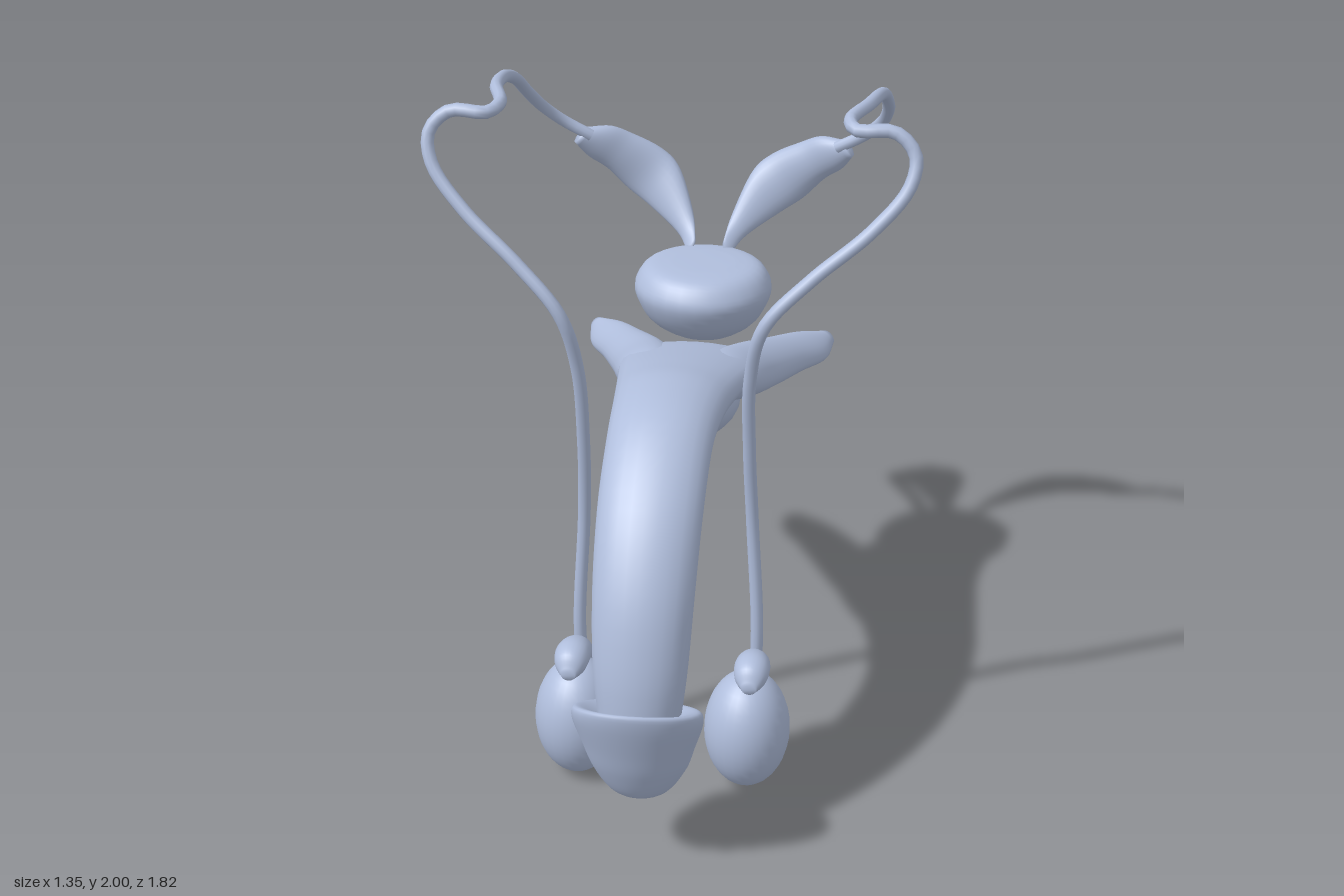
import * as THREE from 'three';

const V = (x, y, z) => new THREE.Vector3(x, y, z);

// Smooth closed skin through elliptical sections { c: centre, u, v: half-axes }
function loft(sections, rings = 28, sides = 24) {
  const [cc, cu, cv] = ['c', 'u', 'v'].map(
    (k) => new THREE.CatmullRomCurve3(sections.map((s) => s[k]), false, 'catmullrom', 0.5));
  const pos = [], idx = [];
  for (let i = 0; i <= rings; i++) {
    const t = i / rings, c = cc.getPoint(t), u = cu.getPoint(t), v = cv.getPoint(t);
    for (let j = 0; j < sides; j++) {
      const a = (j / sides) * Math.PI * 2;
      const p = c.clone().addScaledVector(u, Math.cos(a)).addScaledVector(v, Math.sin(a));
      pos.push(p.x, p.y, p.z);
    }
  }
  const first = sections[0], last = sections[sections.length - 1];
  pos.push(...first.c.toArray(), ...last.c.toArray());
  const mid = sections[sections.length >> 1];
  const dir = last.c.clone().sub(first.c);
  const flip = mid.u.clone().cross(mid.v).dot(dir) < 0;
  const tri = (a, b, c) => (flip ? idx.push(a, c, b) : idx.push(a, b, c));
  const n0 = (rings + 1) * sides;
  for (let j = 0; j < sides; j++) {
    const k = (j + 1) % sides;
    for (let i = 0; i < rings; i++) {
      const a = i * sides + j, b = i * sides + k;
      tri(a, b, b + sides);
      tri(a, b + sides, a + sides);
    }
    tri(n0, k, j);
    tri(n0 + 1, rings * sides + j, rings * sides + k);
  }
  const g = new THREE.BufferGeometry();
  g.setAttribute('position', new THREE.Float32BufferAttribute(pos, 3));
  g.setIndex(idx);
  g.computeVertexNormals();
  return g;
}

// Section given by its outer and inner point in the side plane, plus centre x, half width and sideways tilt
const sec = (zo, yo, zi, yi, hw, x = 0, tilt = 0) => ({
  c: V(x, (yo + yi) / 2, (zo + zi) / 2),
  u: V(hw, tilt, 0),
  v: V(0, (yo - yi) / 2, (zo - zi) / 2),
});

export function createModel() {
  const group = new THREE.Group();
  const tissue = new THREE.MeshStandardMaterial({ color: 0xb0bedc });
  tissue.name = 'pale blue grey';
  const add = (name, geometry) => {
    const m = new THREE.Mesh(geometry, tissue);
    m.name = name;
    group.add(m);
    return m;
  };

  // Curved upper body
  add('shaft', loft([
    sec(-0.46, 1.05, -0.46, 0.98, 0.13),
    sec(-0.38, 1.09, -0.4, 0.97, 0.2),
    sec(-0.22, 1.14, -0.24, 0.99, 0.205),
    sec(-0.02, 1.195, -0.04, 1.03, 0.18),
    sec(0.16, 1.23, 0.14, 1.05, 0.16),
    sec(0.376, 1.205, 0.29, 1.04, 0.148),
    sec(0.587, 1.06, 0.43, 0.96, 0.145),
    sec(0.73, 0.86, 0.54, 0.8, 0.14),
    sec(0.8, 0.65, 0.61, 0.6, 0.13),
    sec(0.82, 0.46, 0.63, 0.43, 0.11),
  ], 40));

  // Lower column, swelling to a bulb at the back
  add('lowerColumn', loft([
    sec(-0.67, 0.89, -0.66, 0.85, 0.03),
    sec(-0.6, 0.95, -0.59, 0.81, 0.1),
    sec(-0.43, 1.0, -0.43, 0.775, 0.135),
    sec(-0.22, 1.03, -0.24, 0.83, 0.11),
    sec(0.0, 1.08, -0.02, 0.95, 0.075),
    sec(0.2, 1.1, 0.17, 1.005, 0.065),
    sec(0.42, 1.0, 0.36, 0.945, 0.065),
    sec(0.56, 0.82, 0.49, 0.78, 0.065),
    sec(0.67, 0.58, 0.58, 0.56, 0.065),
    sec(0.71, 0.4, 0.64, 0.4, 0.06),
  ], 40));

  // Flared cap with a slanted rim
  add('cap', loft([
    sec(0.83, 0.53, 0.66, 0.46, 0.1),
    sec(0.9, 0.595, 0.615, 0.46, 0.165),
    sec(0.905, 0.555, 0.605, 0.43, 0.18),
    sec(0.872, 0.44, 0.607, 0.36, 0.155),
    sec(0.842, 0.35, 0.613, 0.29, 0.13),
    sec(0.795, 0.26, 0.645, 0.24, 0.085),
    sec(0.74, 0.222, 0.69, 0.222, 0.03),
  ], 32, 28));

  // Rounded gland with a flattened top
  const gland = (y, z, rx, rz) => ({ c: V(0, y, z), u: V(rx, 0, 0), v: V(0, 0, rz) });
  add('gland', loft([
    gland(1.01, -0.61, 0.03, 0.03),
    gland(1.04, -0.59, 0.1, 0.09),
    gland(1.1, -0.57, 0.17, 0.155),
    gland(1.18, -0.565, 0.208, 0.195),
    gland(1.23, -0.567, 0.2, 0.185),
    gland(1.265, -0.57, 0.165, 0.15),
    gland(1.275, -0.57, 0.09, 0.08),
  ], 24, 28));

  for (const s of [1, -1]) {
    const side = s > 0 ? 'left' : 'right';

    // Splayed rear leg of the upper body
    add(side + 'RearLeg', loft([
      sec(-0.1, 1.13, -0.1, 1.03, 0.05, s * 0.1),
      sec(-0.25, 1.12, -0.25, 0.98, 0.09, s * 0.125, s * -0.02),
      sec(-0.42, 1.07, -0.42, 0.94, 0.085, s * 0.175, s * -0.03),
      sec(-0.58, 1.02, -0.58, 0.92, 0.068, s * 0.25, s * -0.03),
      sec(-0.7, 0.985, -0.7, 0.91, 0.055, s * 0.32, s * -0.03),
      sec(-0.78, 0.965, -0.78, 0.92, 0.02, s * 0.37, s * -0.01),
    ]));

    // Lobed sac behind the gland: x, y, z, half width, half depth
    add(side + 'Sac', loft([
      [0.055, 1.265, -0.7, 0.02, 0.02],
      [0.085, 1.315, -0.775, 0.038, 0.035],
      [0.16, 1.4, -0.845, 0.075, 0.048],
      [0.225, 1.45, -0.865, 0.082, 0.046],
      [0.3, 1.51, -0.848, 0.066, 0.042],
      [0.36, 1.55, -0.82, 0.058, 0.036],
      [0.415, 1.58, -0.785, 0.026, 0.022],
    ].map(([x, y, z, w, d]) => ({
      c: V(s * x, y, z), u: V(-0.64 * s * w, 0.77 * w, 0), v: V(0, -0.35 * d, d),
    }))));

    // Hanging oval body
    const oval = add(side + 'Oval', new THREE.SphereGeometry(1, 28, 20));
    oval.scale.set(0.125, 0.184, 0.136);
    oval.position.set(s * 0.25, 0.187, 0.307);

    // Crest folded over the oval and down its back
    add(side + 'Crest', loft([
      [0.262, 0.365, 0.385, 0.02, 0.015, 0],
      [0.262, 0.382, 0.35, 0.045, 0.042, 0.1],
      [0.262, 0.388, 0.3, 0.052, 0.046, -0.2],
      [0.26, 0.36, 0.235, 0.045, 0.042, -0.5],
      [0.255, 0.3, 0.19, 0.035, 0.03, -1.2],
      [0.25, 0.2, 0.178, 0.018, 0.015, -1.5],
    ].map(([x, y, z, w, h, a]) => ({
      c: V(s * x, y, z), u: V(w, 0, 0), v: V(0, h * Math.cos(a), h * Math.sin(a)),
    }))));

    // Long looping duct from the crest to the sac
    const path = [
      [0.25, 0.2, 0.182], [0.262, 0.42, 0.185], [0.243, 0.8, 0.18], [0.235, 1.05, 0.215],
      [0.24, 1.3, 0.265], [0.28, 1.47, 0.3], [0.4, 1.6, 0.27], [0.55, 1.725, 0.22],
      [0.645, 1.84, 0.175], [0.655, 1.92, 0.145], [0.6, 1.975, 0.13], [0.5, 1.975, 0.13],
      [0.475, 1.98, 0.07], [0.515, 1.975, -0.08], [0.535, 1.935, -0.28], [0.54, 1.87, -0.45],
      [0.54, 1.77, -0.62], [0.515, 1.69, -0.72], [0.46, 1.63, -0.765], [0.38, 1.58, -0.785],
    ].map(([x, y, z]) => V(s * x, y, z));
    add(side + 'Duct', new THREE.TubeGeometry(new THREE.CatmullRomCurve3(path), 120, 0.0185, 10));
  }
  return group;
}
